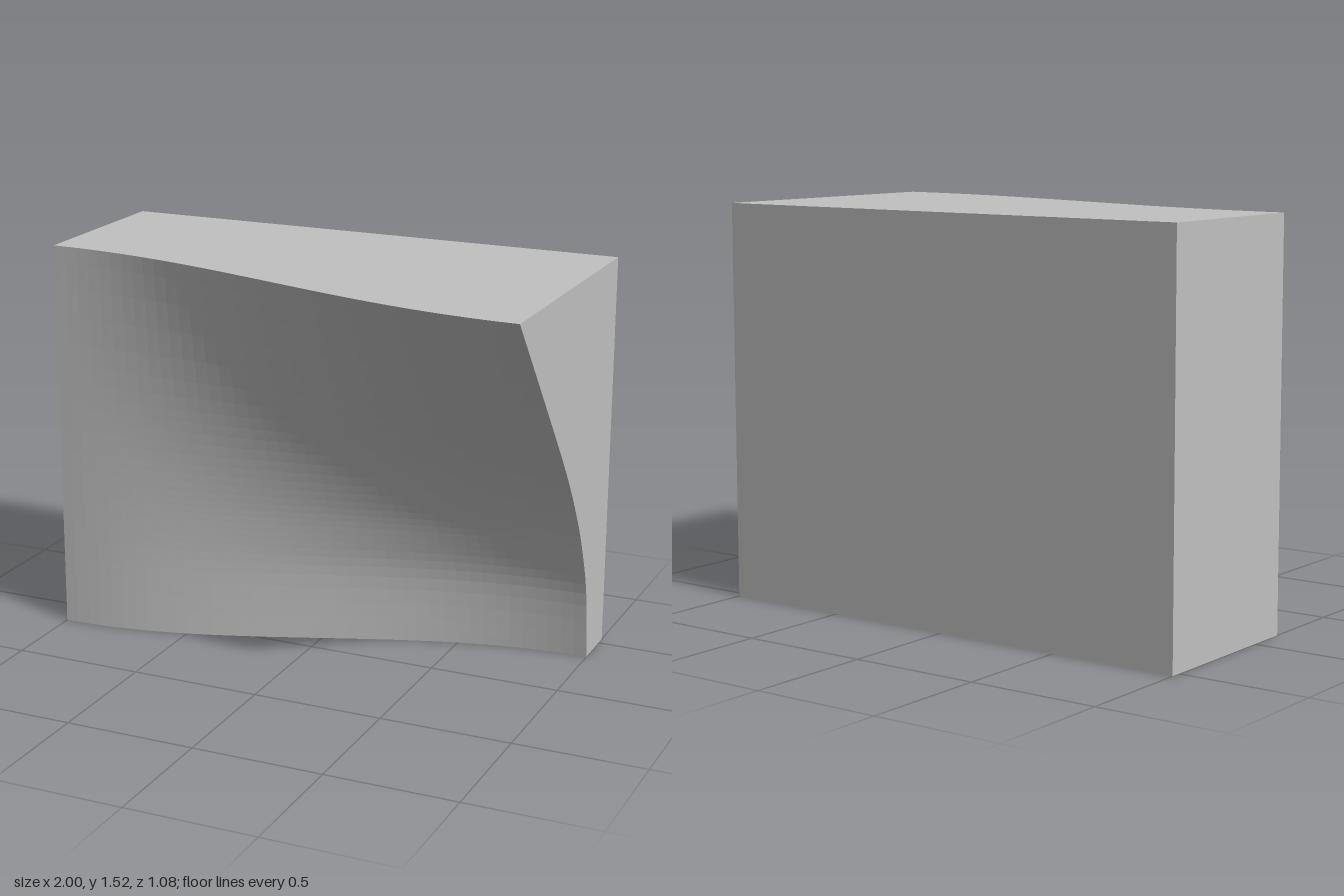
import * as THREE from 'three';

const HEIGHT = 1.525, BACK = -0.54, LEFT_EDGE = 0.157;
const COLS = 40, ROWS = 30;

// Profile of the front face at its +x end, as (z, height)
const profile = new THREE.SplineCurve([
  [-0.347, 0], [-0.313, 0.27], [-0.25, 0.45], [-0.175, 0.6],
  [-0.045, 0.8], [0.155, 1.055], [0.54, HEIGHT],
].map(([z, y]) => new THREE.Vector2(z, y)));

export function createModel() {
  const grey = new THREE.MeshStandardMaterial({ color: 0xc0c0c0, flatShading: true });
  grey.name = 'plain grey';

  // Block whose front blends from a vertical edge to the curved profile
  const box = new THREE.BoxGeometry(2, 1, 1, COLS, ROWS, 1);
  const pos = box.attributes.position;
  for (let i = 0; i < pos.count; i++) {
    const x = pos.getX(i);
    const row = profile.getPoint(THREE.MathUtils.clamp(pos.getY(i) + 0.5, 0, 1));
    const blend = 0.5 + 0.5 * Math.sin(x * Math.PI / 2);
    const front = THREE.MathUtils.lerp(LEFT_EDGE, row.x, blend);
    pos.setXYZ(i, x, row.y, pos.getZ(i) > 0 ? front : BACK);
  }
  const geometry = box.toNonIndexed();
  geometry.computeVertexNormals();

  const block = new THREE.Mesh(geometry, grey);
  block.name = 'twistedBlock';
  const model = new THREE.Group();
  model.name = 'curvedFrontBlock';
  model.add(block);
  return model;
}
